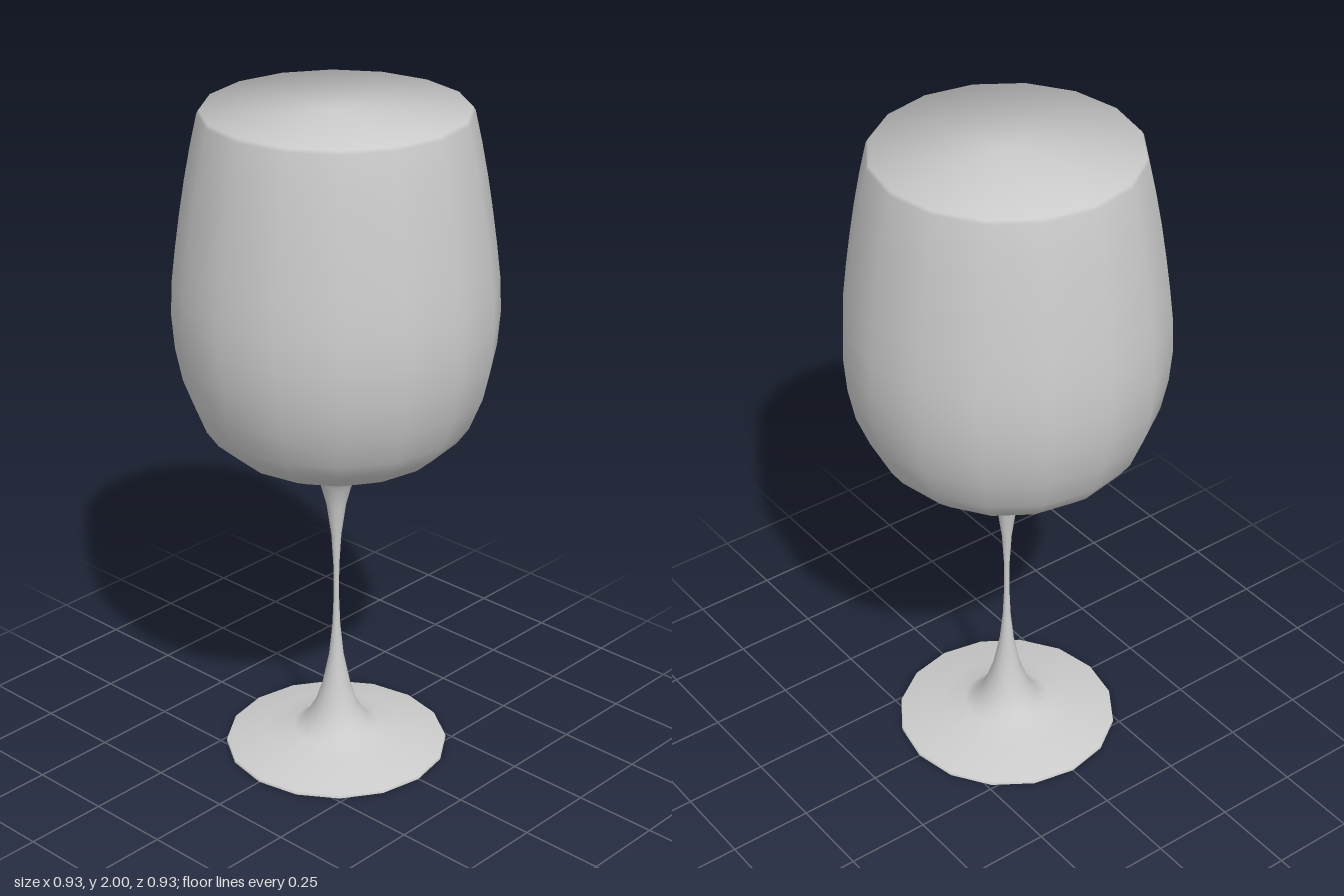
import * as THREE from 'three';

const SIDES = 16;
const material = new THREE.MeshStandardMaterial({ color: 0xcccccc, side: THREE.DoubleSide });

// Revolves a [radius, height] profile, listed from bottom to top
function turned(name, profile) {
  const points = profile.map(([r, y]) => new THREE.Vector2(r, y));
  const mesh = new THREE.Mesh(new THREE.LatheGeometry(points, SIDES), material);
  mesh.name = name;
  return mesh;
}

export function createModel() {
  const group = new THREE.Group();
  group.name = 'wineGlass';

  // Hollow-bottomed foot flaring up into the thin stem
  group.add(turned('footAndStem', [
    [0.335, 0], [0.333, 0.01], [0.21, 0.037], [0.13, 0.057], [0.095, 0.078],
    [0.066, 0.13], [0.042, 0.2], [0.022, 0.3], [0.012, 0.4], [0.008, 0.5],
    [0.009, 0.6], [0.015, 0.7], [0.029, 0.8], [0.045, 0.86], [0.067, 0.905], [0.098, 0.934],
  ]));

  // Rounded bowl, narrowing to the rim and closed by a level fill surface
  const bowlProfile = [
    [0.098, 0.934], [0.16, 0.95], [0.24, 0.972], [0.31, 1.007], [0.365, 1.055],
    [0.4, 1.105], [0.438, 1.2], [0.458, 1.3], [0.466, 1.4], [0.462, 1.5],
    [0.45, 1.6], [0.436, 1.7], [0.42, 1.8], [0.401, 1.9], [0.381, 1.99],
    [0.375, 2], [0, 2],
  ];
  const bowl = turned('bowl', bowlProfile);
  group.add(bowl);

  // Soften the rim: its normals lean halfway between side and top
  const normal = bowl.geometry.attributes.normal;
  const n = bowlProfile.length;
  for (let i = 0; i <= SIDES; i++) {
    const a = (i / SIDES) * Math.PI * 2;
    normal.setXYZ(i * n + n - 2, Math.sin(a) * Math.SQRT1_2, Math.SQRT1_2, Math.cos(a) * Math.SQRT1_2);
  }
  return group;
}
